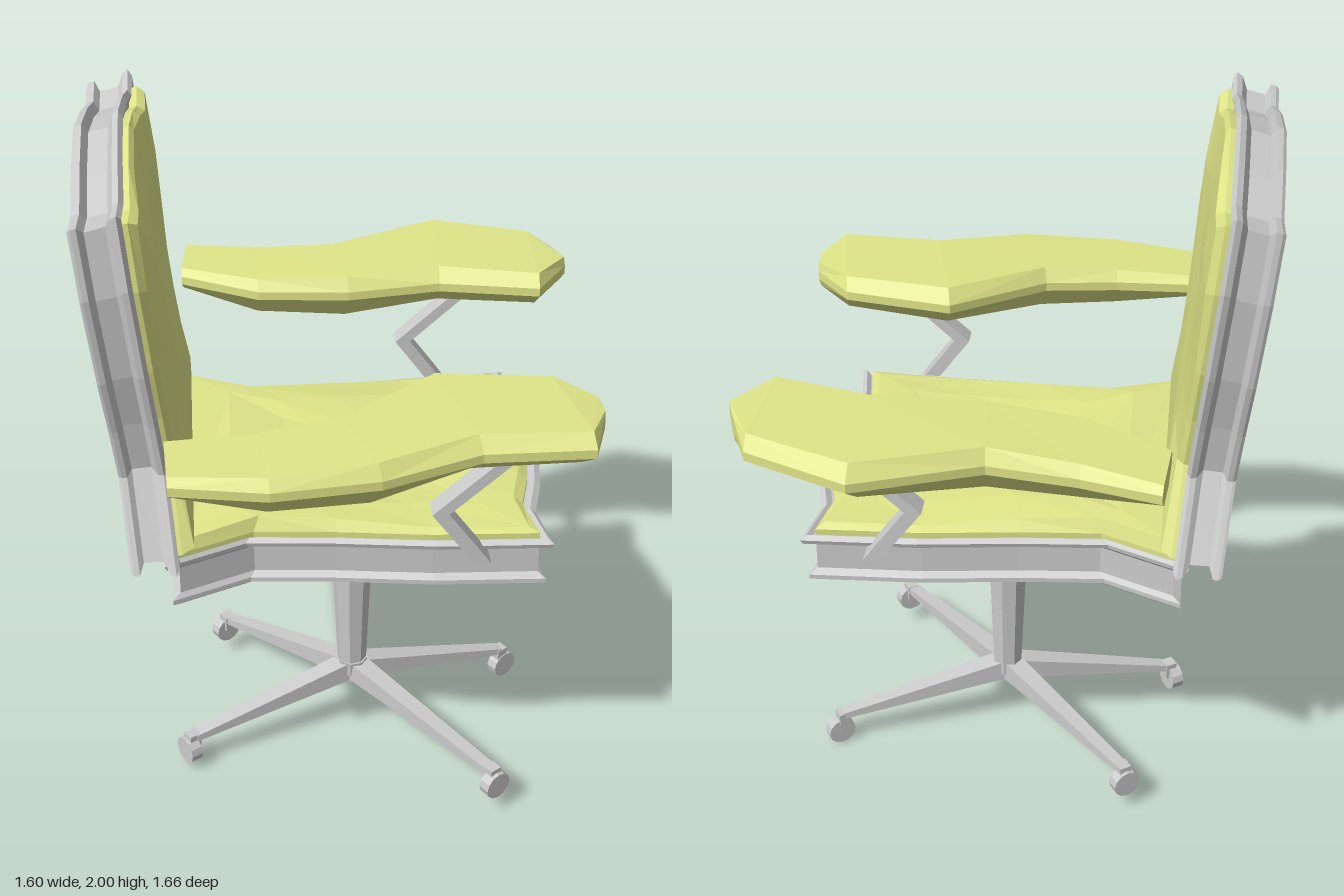
import * as THREE from 'three';

const V = (x, y, z) => new THREE.Vector3(x, y, z);
const grey = new THREE.MeshStandardMaterial({ color: 0xcccccc, flatShading: true });
const fabric = new THREE.MeshStandardMaterial({ color: 0xdfe588, flatShading: true });

// Closed skin through rings of equal length, capped at both ends, always facing outwards
function loft(rings) {
  const n = rings[0].length, pts = rings.flat(), idx = [];
  for (let r = 0; r < rings.length - 1; r++) {
    for (let i = 0; i < n; i++) {
      const a = r * n + i, b = r * n + (i + 1) % n;
      idx.push(a, b, b + n, a, b + n, a + n);
    }
  }
  const cap = (ring, start, flip) => {
    const c = ring.reduce((s, p) => s.add(p), V(0, 0, 0)).divideScalar(n);
    const k = pts.push(c) - 1;
    for (let i = 0; i < n; i++) {
      const a = start + i, b = start + (i + 1) % n;
      idx.push(k, ...(flip ? [b, a] : [a, b]));
    }
  };
  cap(rings[0], 0, true);
  cap(rings[rings.length - 1], (rings.length - 1) * n, false);
  let volume = 0;
  for (let i = 0; i < idx.length; i += 3) {
    volume += pts[idx[i]].dot(pts[idx[i + 1]].clone().cross(pts[idx[i + 2]]));
  }
  if (volume < 0) idx.reverse();
  const g = new THREE.BufferGeometry().setFromPoints(pts);
  g.setIndex(idx);
  const flat = g.toNonIndexed();
  flat.computeVertexNormals();
  return flat;
}

// Half outline ending on the centre line, completed by mirroring
const mirror = (half) => [...half, ...half.slice(0, -1).reverse().map(([x, y]) => [-x, y])];

function add(parent, name, geometry, material = grey) {
  const m = new THREE.Mesh(geometry, material);
  m.name = name;
  parent.add(m);
  return m;
}

// Rectangular bar between two points, tapering from size s0 to s1 ([width, height])
function bar(p, q, s0, s1, side) {
  const up = q.clone().sub(p).cross(side).normalize();
  const ring = (c, [w, h]) => [[-1, -1], [1, -1], [1, 1], [-1, 1]].map(([i, j]) =>
    c.clone().addScaledVector(side, i * w / 2).addScaledVector(up, j * h / 2));
  return loft([ring(p, s0), ring(q, s1)]);
}

function buildSeat(chair) {
  const outline = mirror([[0.47, -0.51], [0.38, -0.3], [0.4, -0.07], [0.435, 0.2],
    [0.45, 0.5], [0.3, 0.475], [0.17, 0.51], [0, 0.535]]);
  const ring = (s, y) => outline.map(([x, z]) => V(x * s, y, z * s));
  // Channel-shaped frame with an upper and a lower lip
  add(chair, 'seatFrame', loft([[0.95, 0.805], [0.98, 0.812], [0.98, 0.825], [0.94, 0.838],
    [0.94, 0.918], [1, 0.932], [1.01, 0.945], [0.98, 0.955], [0.95, 0.945]].map(([s, y]) => ring(s, y))));
  // Slightly uneven padding, higher towards the back
  const pad = (s, y) => ring(s, y).map((p) => {
    p.y += -0.03 * p.z + 0.008 * Math.sin(9 * p.x + 7 * p.z);
    return p;
  });
  add(chair, 'seatCushion', loft([ring(0.94, 0.94), ring(0.94, 0.962), pad(0.89, 0.985),
    pad(0.65, 0.992), pad(0.35, 0.985)]), fabric);
}

function buildBack(chair) {
  const outline = mirror([[0.5, 0.94], [0.39, 1.17], [0.415, 1.32], [0.455, 1.48],
    [0.485, 1.72], [0.475, 1.9], [0.36, 1.885], [0.2, 1.93], [0, 1.965]]);
  const cy = 1.42;
  // Leaning cross-section at depth d in front of the rear face
  const ring = (s, d) => outline.map(([x, y0]) => {
    const y = cy + (y0 - cy) * s;
    return V(x * s, y + 0.27 * d * (y - 0.94), -0.6 - 0.088 * (y - 0.94) + d);
  });
  add(chair, 'backFrame', loft([[0.99, 0], [1, 0.008], [1, 0.022], [0.95, 0.035], [0.95, 0.085],
    [1, 0.1], [1.01, 0.115], [0.98, 0.125], [0.95, 0.115]].map(([s, d]) => ring(s, d))));
  const pad = (s, d) => ring(s, d).map((p) => {
    p.z += 0.025 * Math.max(0, 1.5 - p.y) + 0.006 * Math.sin(8 * p.x + 6 * p.y);
    return p;
  });
  add(chair, 'backCushion', loft([ring(0.93, 0.11), ring(0.93, 0.135), pad(0.9, 0.15),
    pad(0.65, 0.165), pad(0.35, 0.165)]), fabric);
}

// Wavy arm pad: stations of [outer x, outer z, inner x, inner z, top, middle, bottom]
function buildArm(chair, side, stations) {
  const rings = stations.map(([ox, oz, ix, iz, top, mid, low]) => {
    const at = (t, y) => V(ox + (ix - ox) * t, y, oz + (iz - oz) * t);
    return [at(0, mid - 0.01), at(0, mid + 0.015), at(0.09, top), at(0.91, top),
      at(1, mid + 0.015), at(1, mid - 0.01), at(0.74, low), at(0.26, low)];
  });
  add(chair, side + 'ArmPad', loft(rings), fabric);
}

// Bent flat strap carrying an arm pad
function buildStrap(chair, side, x) {
  const path = [[0.92, 0.31], [0.97, 0.275], [1.08, 0.195], [1.225, 0.355]];
  const rings = path.map(([y, z]) => [[-0.03, -0.022], [0.03, -0.022], [0.03, 0.022], [-0.03, 0.022]]
    .map(([dx, dz]) => V(x + dx, y, z + dz)));
  add(chair, side + 'ArmSupport', loft(rings));
}

function buildBase(group) {
  const column = add(group, 'column', new THREE.CylinderGeometry(0.066, 0.042, 0.62, 8));
  column.position.set(0.005, 0.5, -0.005);
  const hub = add(group, 'hub', new THREE.CylinderGeometry(0.045, 0.03, 0.08, 8));
  hub.position.set(0.01, 0.2, -0.005);
  // Caster x, z, leg tip height, wheel centre height, wheel turned along z
  [[-0.5, 0.12, 0.135, 0.093, false], [0.58, -0.08, 0.14, 0.1, false],
    [-0.12, 0.51, 0.1, 0.06, true], [0.135, -0.51, 0.1, 0.043, false]].forEach(([x, z, tip, wy, alongZ], i) => {
    const end = V(x * 0.98, tip, z * 0.98), start = V(0.005, 0.205, -0.005);
    const side = V(z, 0, -x).normalize();
    add(group, 'leg' + (i + 1), bar(start, end, [0.06, 0.065], [0.035, 0.02], side));
    const fork = add(group, 'casterFork' + (i + 1), new THREE.BoxGeometry(0.036, 0.05, 0.036));
    fork.position.set(x * 0.98, (tip + wy) / 2 + 0.01, z * 0.98);
    const wheel = add(group, 'casterWheel' + (i + 1), new THREE.CylinderGeometry(0.042, 0.042, 0.036, 12));
    if (alongZ) wheel.rotation.x = Math.PI / 2;
    else wheel.rotation.z = Math.PI / 2;
    wheel.position.set(x, wy, z);
  });
}

export function createModel() {
  const model = new THREE.Group();
  model.name = 'swivelChair';
  buildBase(model);

  // Upper part, swivelled on the column
  const chair = new THREE.Group();
  chair.name = 'upperChair';
  chair.rotation.y = 2.563;
  model.add(chair);
  buildSeat(chair);
  buildBack(chair);
  buildArm(chair, 'left', [
    [0.67, -0.44, 0.478, -0.456, 1.32, 1.285, 1.24],
    [0.62, -0.238, 0.36, -0.235, 1.33, 1.285, 1.205],
    [0.594, -0.006, 0.327, 0.025, 1.345, 1.29, 1.2],
    [0.729, 0.312, 0.344, 0.289, 1.355, 1.3, 1.215],
    [0.621, 0.585, 0.278, 0.571, 1.355, 1.305, 1.23],
    [0.51, 0.635, 0.42, 0.67, 1.345, 1.305, 1.265]]);
  buildArm(chair, 'right', [
    [-0.642, -0.488, -0.445, -0.498, 1.32, 1.285, 1.24],
    [-0.686, -0.245, -0.436, -0.265, 1.33, 1.285, 1.205],
    [-0.663, 0.027, -0.399, -0.062, 1.345, 1.29, 1.2],
    [-0.579, 0.283, -0.207, 0.195, 1.355, 1.3, 1.215],
    [-0.588, 0.563, -0.249, 0.497, 1.355, 1.305, 1.23],
    [-0.45, 0.61, -0.37, 0.605, 1.345, 1.305, 1.265]]);
  buildStrap(chair, 'left', 0.46);
  buildStrap(chair, 'right', -0.46);
  return model;
}
